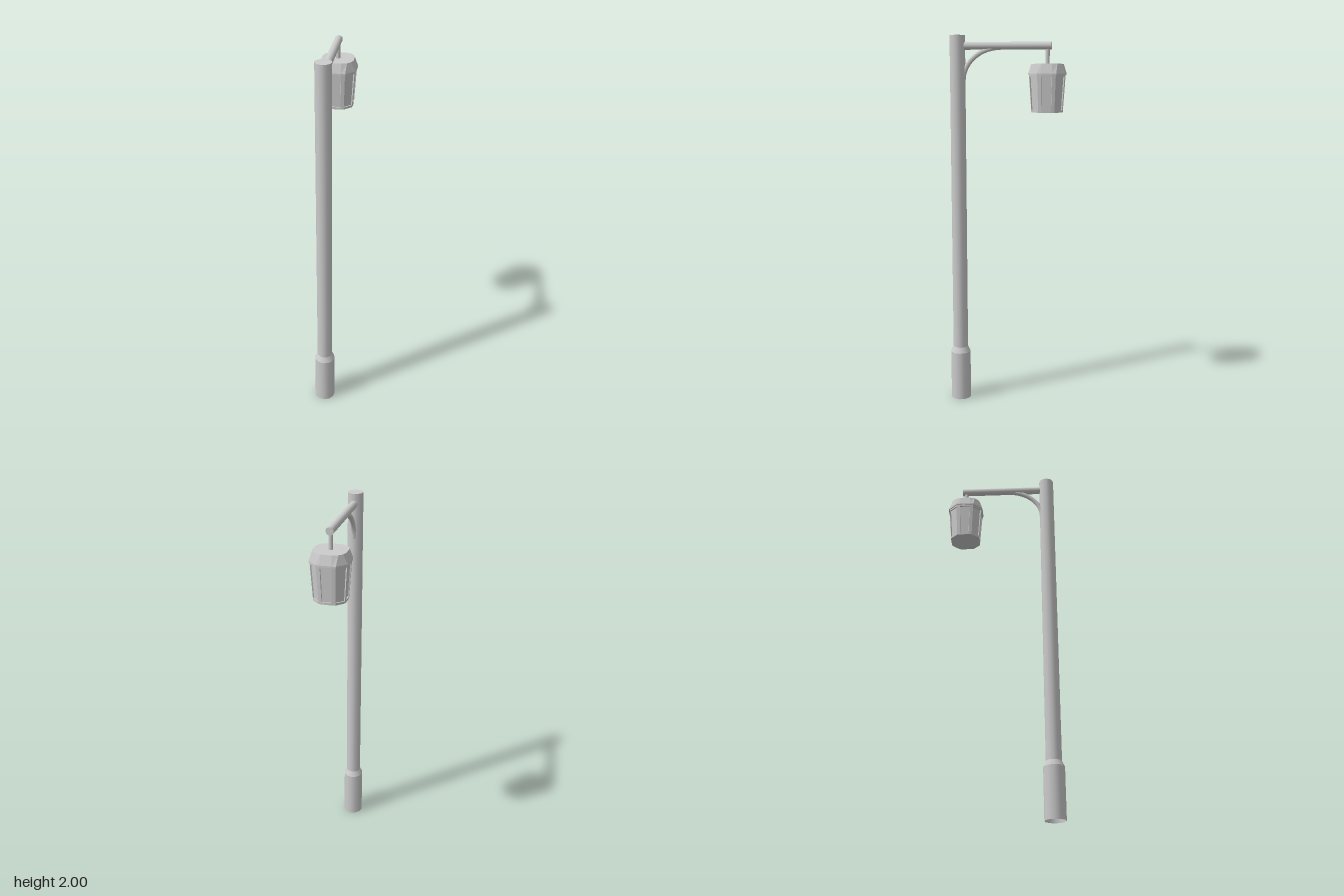
import * as THREE from 'three';

const mat = new THREE.MeshStandardMaterial({ color: 0xcccccc });
const openMat = new THREE.MeshStandardMaterial({ color: 0xcccccc, side: THREE.DoubleSide });
const flatMat = new THREE.MeshStandardMaterial({ color: 0xcccccc, flatShading: true });

const POST_Z = 0.257, LAMP_Z = -0.215, SIDES = 12;

function add(parent, name, geometry, material, x = 0, y = 0, z = 0) {
  const mesh = new THREE.Mesh(geometry, material);
  mesh.name = name;
  mesh.position.set(x, y, z);
  parent.add(mesh);
  return mesh;
}

// Closed solid through horizontal sections { y, pts: [[x, z], ...] }, listed bottom to top
function loft(sections) {
  const n = sections[0].pts.length, pos = [];
  const put = (s, i) => pos.push(s.pts[i % n][0], s.y, s.pts[i % n][1]);
  for (let k = 0; k + 1 < sections.length; k++) {
    const a = sections[k], b = sections[k + 1];
    for (let i = 0; i < n; i++) {
      put(a, i); put(b, i); put(a, i + 1);
      put(a, i + 1); put(b, i); put(b, i + 1);
    }
  }
  const bottom = sections[0], top = sections[sections.length - 1];
  for (let i = 1; i < n - 1; i++) {
    put(bottom, 0); put(bottom, i); put(bottom, i + 1);
    put(top, 0); put(top, i + 1); put(top, i);
  }
  const g = new THREE.BufferGeometry();
  g.setAttribute('position', new THREE.Float32BufferAttribute(pos, 3));
  g.computeVertexNormals();
  return g;
}

// Rounded-square outline: four corner points turned through four quarters
function outline(corner, scale = 1) {
  const pts = [];
  for (let q = 0; q < 4; q++) {
    const c = [1, 0, -1, 0][q], s = [0, 1, 0, -1][q];
    for (const [x, z] of corner) pts.push([(x * c - z * s) * scale, (x * s + z * c) * scale]);
  }
  return pts;
}

const WIDE = [[0.098, 0.03], [0.095, 0.05], [0.05, 0.095], [0.03, 0.098]];
const ROUND = [[0.083, 0.027], [0.074, 0.055], [0.055, 0.074], [0.027, 0.083]];

function createLantern() {
  const lantern = new THREE.Group();
  lantern.name = 'lantern';
  lantern.position.z = LAMP_Z;
  const low = 1.605, high = 1.8, lowScale = 0.83, highScale = 0.96;
  const scaleAt = (y) => lowScale + (highScale - lowScale) * (y - low) / (high - low);
  const section = (y, inset = 1) => ({ y, pts: outline(WIDE, scaleAt(y) * inset) });

  // Sloped roof
  add(lantern, 'roof', loft([
    { y: 1.797, pts: outline(WIDE) },
    { y: 1.805, pts: outline(WIDE) },
    { y: 1.853, pts: outline(ROUND) },
  ]), flatMat);

  // Recessed panels, with rims below and above them
  add(lantern, 'panels', loft([section(low + 0.002, 0.93), section(high, 0.93)]), flatMat);
  add(lantern, 'bottomRim', loft([section(low), section(low + 0.012)]), flatMat);
  add(lantern, 'topRim', loft([section(high - 0.012), section(high)]), flatMat);

  // Eight upright ribs on the narrow bevels of the outline
  for (let i = 0; i < 16; i += 2) {
    const cut = ({ y, pts }) => {
      const a = pts[i], b = pts[i + 1];
      return { y, pts: [a, b, b.map((v) => v * 0.9), a.map((v) => v * 0.9)] };
    };
    add(lantern, 'rib', loft([cut(section(low + 0.006)), cut(section(high - 0.006))]), flatMat);
  }
  return lantern;
}

export function createModel() {
  const model = new THREE.Group();
  model.name = 'streetLamp';

  // Post on a thicker sleeve, open underneath
  add(model, 'base', new THREE.CylinderGeometry(0.055, 0.055, 0.27, SIDES, 1, true), openMat, 0, 0.135, POST_Z);
  add(model, 'baseTaper', new THREE.CylinderGeometry(0.041, 0.055, 0.03, SIDES, 1, true), openMat, 0, 0.285, POST_Z);
  add(model, 'post', new THREE.CylinderGeometry(0.041, 0.041, 1.7, SIDES), mat, 0, 1.15, POST_Z);

  // Horizontal arm
  const armStart = 0.23, armEnd = -0.236;
  const arm = add(model, 'arm', new THREE.CylinderGeometry(0.02, 0.02, armStart - armEnd, SIDES), mat,
    0, 1.945, (armStart + armEnd) / 2);
  arm.rotation.x = Math.PI / 2;

  // Curved brace between post and arm
  const arc = [];
  for (let i = 0; i <= 10; i++) {
    const t = (i / 10) * Math.PI / 2;
    arc.push(new THREE.Vector3(0, 1.765 + 0.172 * Math.sin(t), 0.03 + 0.198 * Math.cos(t)));
  }
  add(model, 'brace', new THREE.TubeGeometry(new THREE.CatmullRomCurve3(arc), 16, 0.013, 8), openMat);

  // Hanger rod and lantern
  add(model, 'hanger', new THREE.CylinderGeometry(0.011, 0.011, 0.1, 8), mat, 0, 1.89, LAMP_Z);
  model.add(createLantern());
  return model;
}
